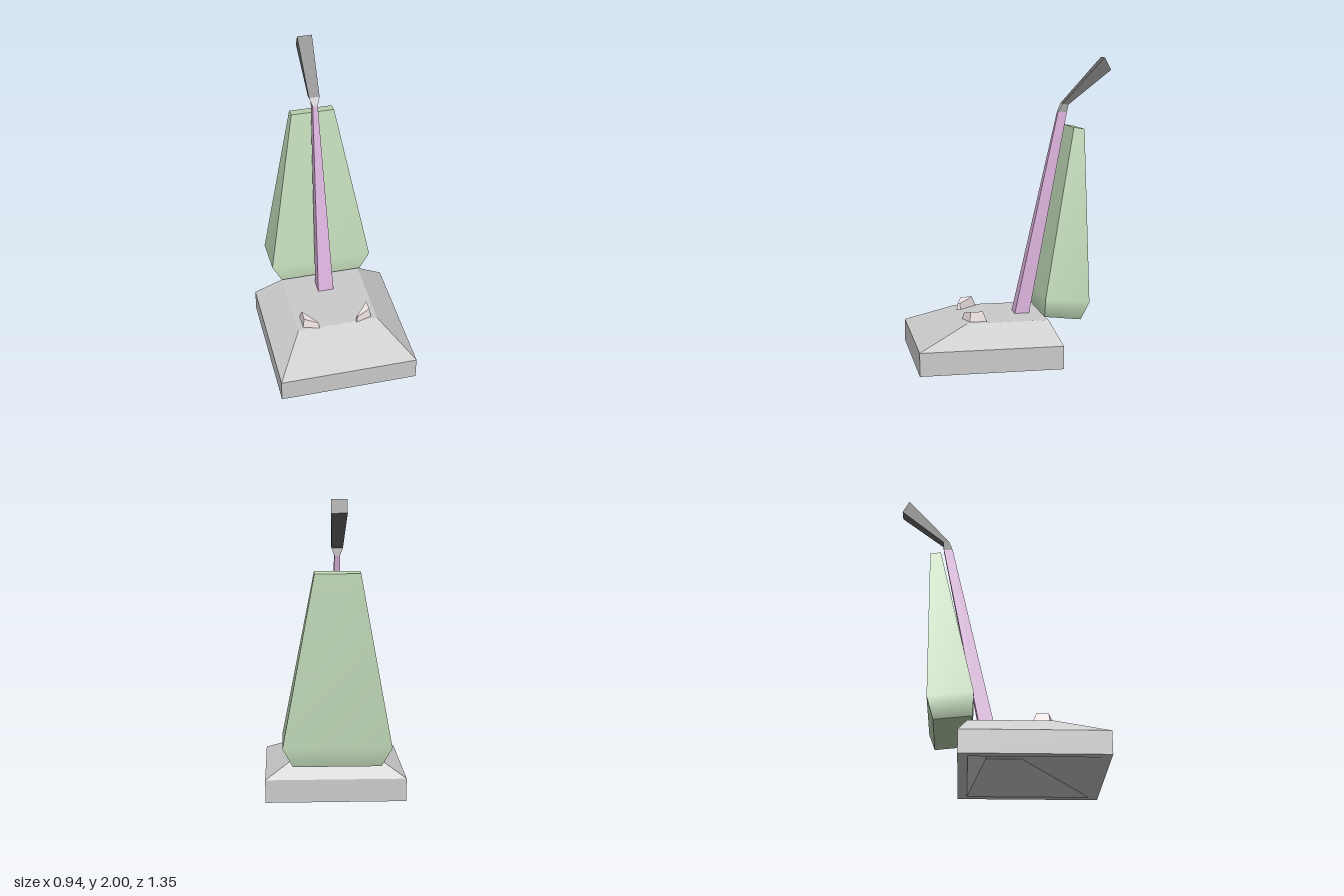
import * as THREE from 'three';

// Cross-section with four corners; front and back are [z, y]
function section(w, front, back) {
  return [[-w, front[1], front[0]], [w, front[1], front[0]], [w, back[1], back[0]], [-w, back[1], back[0]]];
}

// Skin a stack of four-cornered sections; smooth blends normals along each side only
function loft(rings, smooth = false) {
  const pos = [], idx = [];
  const quad = (a, b, c, d) => {
    const n = pos.length / 3;
    pos.push(...a, ...b, ...c, ...d);
    idx.push(n, n + 1, n + 2, n, n + 2, n + 3);
  };
  for (let i = 0; i < 4; i++) {
    const j = (i + 1) % 4;
    if (smooth) {
      const n = pos.length / 3;
      rings.forEach((r) => pos.push(...r[i], ...r[j]));
      for (let k = 0; k < rings.length - 1; k++) {
        const a = n + k * 2;
        idx.push(a, a + 1, a + 3, a, a + 3, a + 2);
      }
    } else {
      for (let k = 0; k < rings.length - 1; k++) quad(rings[k][i], rings[k][j], rings[k + 1][j], rings[k + 1][i]);
    }
  }
  const first = rings[0], last = rings[rings.length - 1];
  quad(first[3], first[2], first[1], first[0]);
  quad(last[0], last[1], last[2], last[3]);
  const geo = new THREE.BufferGeometry();
  geo.setAttribute('position', new THREE.Float32BufferAttribute(pos, 3));
  geo.setIndex(idx);
  geo.computeVertexNormals();
  return geo;
}

export function createModel() {
  const group = new THREE.Group();
  const add = (name, geo, color) => {
    const mesh = new THREE.Mesh(geo, new THREE.MeshStandardMaterial({ color }));
    mesh.name = name;
    group.add(mesh);
  };

  // Floor head: shallow sloping underside, rim, straight skirt, sloped hood
  add('floorHead', loft([
    section(0.16, [0.158, 0.18], [-0.08, 0.18]),
    section(0.41, [0.615, 0], [-0.2, 0]),
    section(0.468, [0.675, 0], [-0.262, 0]),
    section(0.468, [0.675, 0.153], [-0.262, 0.153]),
    section(0.278, [0.342, 0.284], [-0.203, 0.284]),
  ]), 0xcccccc);

  // Dust bag: tapering body with a tucked-in bottom
  add('dustBag', loft([
    section(0.287, [-0.173, 0.308], [-0.418, 0.281]),
    section(0.353, [-0.165, 0.44], [-0.459, 0.41]),
    section(0.147, [-0.397, 1.545], [-0.469, 1.533]),
  ], true), 0xc1d9b8);

  // Leaning pole, joint and bent grip
  const poleTop = section(0.017, [-0.319, 1.638], [-0.38, 1.638]);
  const gripStart = section(0.036, [-0.346, 1.693], [-0.385, 1.688]);
  add('pole', loft([section(0.055, [-0.018, 0.284], [-0.117, 0.284]), poleTop]), 0xdcb3dd);
  add('poleJoint', loft([poleTop, gripStart]), 0xcccccc);
  add('grip', loft([gripStart, section(0.05, [-0.628, 2], [-0.673, 1.917])]), 0x6c6c6c);

  // Two wedge pedals, mirrored
  const base = [[0.13, 0.284, 0.352], [0.24, 0.284, 0.318], [0.24, 0.284, 0.205], [0.13, 0.284, 0.325]];
  const top = [[0.14, 0.325, 0.342], [0.23, 0.349, 0.31], [0.23, 0.349, 0.23], [0.14, 0.325, 0.328]];
  const mirror = (ring) => ring.map(([x, y, z]) => [-x, y, z]).reverse();
  add('leftPedal', loft([base, top]), 0xeee2e2);
  add('rightPedal', loft([mirror(base), mirror(top)]), 0xeee2e2);

  return group;
}
